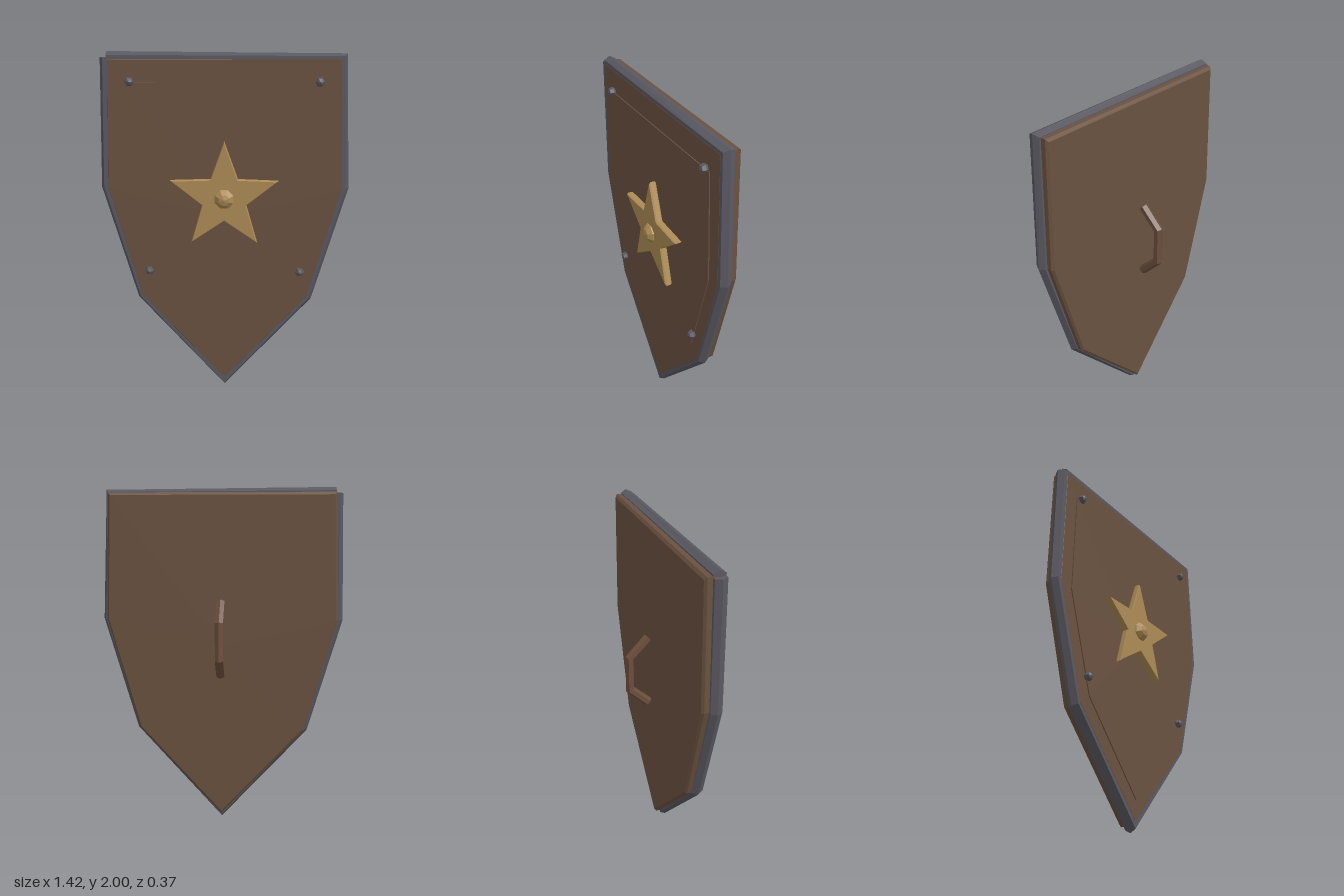
import * as THREE from 'three';

const material = (name, color) => {
  const m = new THREE.MeshStandardMaterial({ color, flatShading: true });
  m.name = name;
  return m;
};

// Skin a series of counter-clockwise rings and close both ends with fans.
function skin(rings) {
  const pos = [];
  const tri = (...pts) => pts.forEach((p) => pos.push(p.x, p.y, p.z));
  const n = rings[0].length;
  for (let i = 0; i < rings.length - 1; i++) {
    for (let j = 0; j < n; j++) {
      const k = (j + 1) % n;
      const [a, b] = [rings[i], rings[i + 1]];
      tri(a[j], a[k], b[k]);
      tri(a[j], b[k], b[j]);
    }
  }
  const cap = (ring, flip) => {
    const c = ring.reduce((s, p) => s.add(p), new THREE.Vector3()).divideScalar(n);
    for (let j = 0; j < n; j++) {
      const k = (j + 1) % n;
      if (flip) tri(c, ring[k], ring[j]);
      else tri(c, ring[j], ring[k]);
    }
  };
  cap(rings[0], true);
  cap(rings[rings.length - 1], false);
  const geo = new THREE.BufferGeometry();
  geo.setAttribute('position', new THREE.Float32BufferAttribute(pos, 3));
  geo.computeVertexNormals();
  return geo;
}

// Sweep a six-sided section along a planar path.
function sweep(path, radius, binormal) {
  return skin(path.map((p, i) => {
    const t = new THREE.Vector3();
    if (i > 0) t.add(p.clone().sub(path[i - 1]).normalize());
    if (i < path.length - 1) t.add(path[i + 1].clone().sub(p).normalize());
    const normal = binormal.clone().cross(t.normalize());
    return Array.from({ length: 6 }, (_, j) => {
      const a = (j * Math.PI) / 3;
      return p.clone()
        .addScaledVector(normal, radius * Math.cos(a))
        .addScaledVector(binormal, radius * Math.sin(a));
    });
  }));
}

// Slab from an outline, with the front and back edges chamfered.
function slab(outline, cy, z0, z1, bevel, scale) {
  const layer = (z, s) => outline.map(([x, y]) => new THREE.Vector3(x * s, cy + (y - cy) * s, z));
  return skin([layer(z0, scale), layer(z0 + bevel, 1), layer(z1 - bevel, 1), layer(z1, scale)]);
}

// Mirror the +x half of a shield outline (bottom tip first).
const shield = (tip, half) => [[0, tip], ...half, ...half.map(([x, y]) => [-x, y]).reverse()];

export function createModel() {
  const group = new THREE.Group();
  const wood = material('brown wood', 0x6a5240);
  const grip = material('reddish brown grip', 0x6c4e3c);
  const steel = material('dark steel', 0x5a5962);
  const brass = material('brass', 0xae8c56);
  const add = (name, geo, mat) => {
    const mesh = new THREE.Mesh(geo, mat);
    mesh.name = name;
    group.add(mesh);
    return mesh;
  };

  // Wooden body and thin raised front panel
  const body = shield(0.04, [[0.492, 0.573], [0.679, 1.24], [0.656, 1.971]]);
  add('body', slab(body, 1.15, -0.011, 0.099, 0.013, 0.982), wood);
  const panel = shield(0.175, [[0.415, 0.64], [0.585, 1.21], [0.562, 1.83]]);
  add('frontPanel', slab(panel, 1.15, 0.09, 0.105, 0.001, 1), wood);

  // Steel rim, starting and ending at one top corner
  const rimPath = [[-0.655, 1.961], [0.65, 1.961], [0.672, 1.24], [0.48, 0.583], [0, 0.039],
    [-0.48, 0.583], [-0.672, 1.24], [-0.655, 1.966]].map(([x, y]) => new THREE.Vector3(x, y, 0.064));
  add('rim', sweep(rimPath, 0.039, new THREE.Vector3(0, 0, 1)), steel);

  // Corner rivets
  for (const [x, y] of [[0.527, 1.837], [0.44, 0.742]]) {
    for (const side of [-1, 1]) {
      const rivet = add('rivet', new THREE.SphereGeometry(0.027, 6, 4).rotateX(Math.PI / 2), steel);
      rivet.position.set(side * x, y, 0.112);
    }
  }

  // Five-pointed star and faceted centre boss
  const star = Array.from({ length: 10 }, (_, i) => {
    const a = Math.PI / 2 + (i * Math.PI) / 5;
    const r = i % 2 ? 0.133 : 0.323;
    return [r * Math.cos(a), 1.186 + r * Math.sin(a)];
  });
  add('star', slab(star, 1.186, 0.103, 0.147, 0.009, 0.965), brass);
  const boss = add('boss', new THREE.SphereGeometry(0.065, 8, 6).rotateX(Math.PI / 2), brass);
  boss.rotation.z = Math.PI / 8;
  boss.position.set(0, 1.182, 0.121);

  // Bent grip behind the body
  const gripPath = [[1.347, -0.051], [1.236, -0.161], [1.026, -0.161], [0.917, -0.051]]
    .map(([y, z]) => new THREE.Vector3(0, y, z));
  add('handle', sweep(gripPath, 0.027, new THREE.Vector3(1, 0, 0)), grip);

  return group;
}
